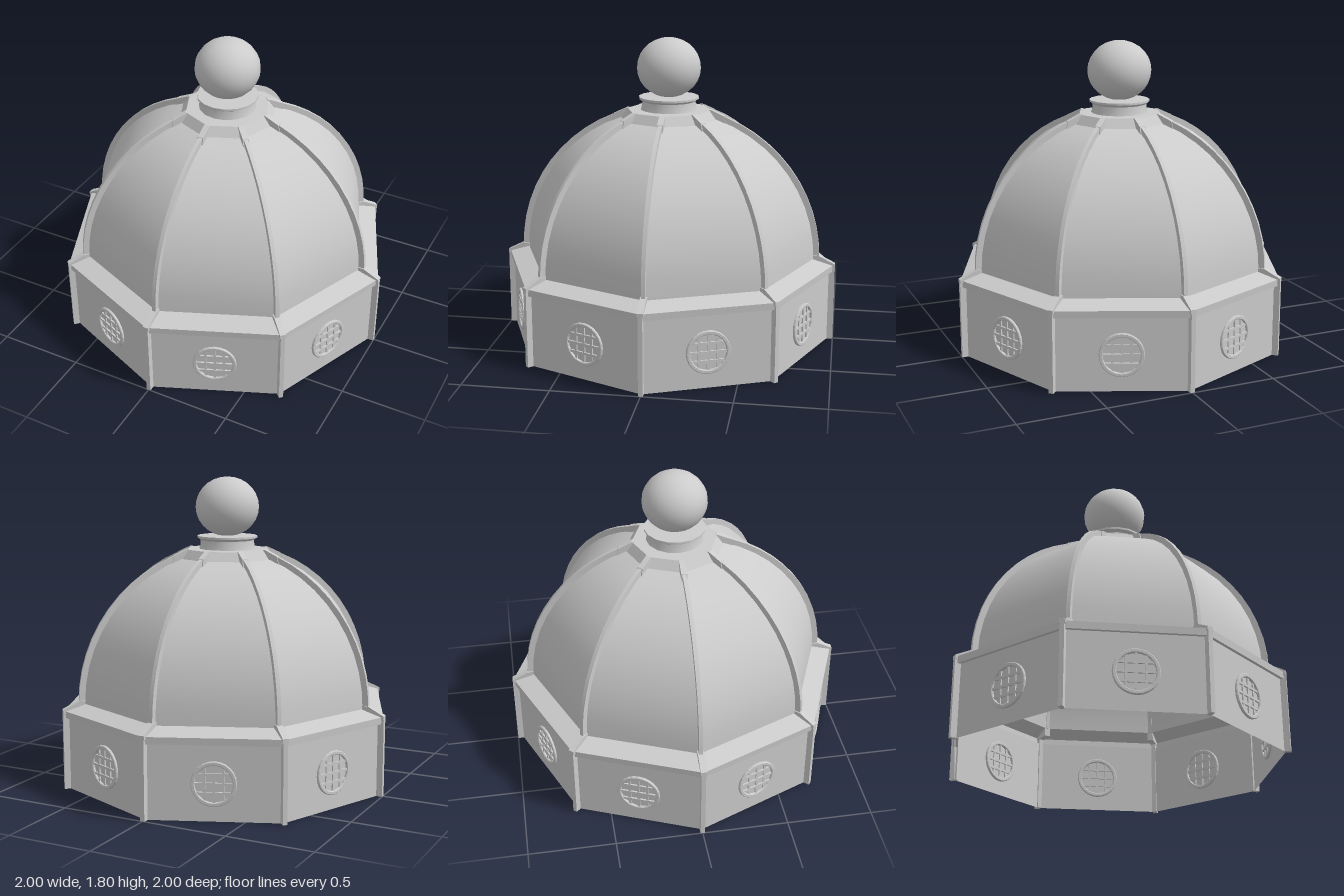
import * as THREE from 'three';
import { toCreasedNormals } from 'three/addons/utils/BufferGeometryUtils.js';

const SIDES = 8;
const STEP = (Math.PI * 2) / SIDES;
const DOME_Y = 0.5;
const grey = new THREE.MeshStandardMaterial({ color: 0xcccccc, side: THREE.DoubleSide });

const vec = (pts) => pts.map(([r, y]) => new THREE.Vector2(r, y));

// Points on a vertical arc, from the dome base up to the radius where it stops
function arc(radius, endR, n) {
  const end = Math.acos(endR / radius);
  return Array.from({ length: n + 1 }, (_, i) => {
    const a = (end * i) / n;
    return [radius * Math.cos(a), DOME_Y + radius * Math.sin(a)];
  });
}

function add(parent, geometry, name) {
  const mesh = new THREE.Mesh(geometry, grey);
  mesh.name = name;
  parent.add(mesh);
  return mesh;
}

// One flat-across side of the octagon, swept from a radius/height profile
function panel(points, smooth) {
  const g = new THREE.LatheGeometry(vec(points), 1, 0, STEP);
  if (!smooth) return toCreasedNormals(g, 0.3);
  g.computeVertexNormals();
  return g;
}

// Radial fin: a radius/height outline given a thickness, lying in the +z plane
function fin(points, width) {
  const g = new THREE.ExtrudeGeometry(new THREE.Shape(vec(points)), { depth: width, bevelEnabled: false });
  g.translate(0, 0, -width / 2);
  g.rotateY(-Math.PI / 2);
  return g;
}

// Round window: raised rim and a grid of bars, facing +z
function createWindow() {
  const win = new THREE.Group();
  win.name = 'window';
  const ring = new THREE.Shape().absarc(0, 0, 0.125, 0, Math.PI * 2);
  ring.holes.push(new THREE.Path().absarc(0, 0, 0.103, 0, Math.PI * 2, true));
  const rim = new THREE.ExtrudeGeometry(ring, {
    depth: 0.02, curveSegments: 12, bevelThickness: 0.004, bevelSize: 0.004, bevelOffset: -0.004, bevelSegments: 1,
  });
  rim.translate(0, 0, -0.01);
  add(win, rim, 'windowRim');
  for (const t of [-0.052, 0, 0.052]) {
    const length = 2 * Math.sqrt(0.108 ** 2 - t * t);
    add(win, new THREE.BoxGeometry(0.014, length, 0.016), 'verticalBar').position.x = t;
    add(win, new THREE.BoxGeometry(length, 0.014, 0.02), 'horizontalBar').position.y = t;
  }
  return win;
}

export function createModel() {
  const model = new THREE.Group();
  model.name = 'dome';

  // Shared shapes for the eight sides
  const wall = panel([[0.97, 0], [0.97, 0.425]]);
  const cornice = panel([[0.97, 0.425], [0.99, 0.425], [0.993, 0.465], [0.875, 0.5]]);
  const roof = panel(arc(0.875, 0.29, 10), true);
  const collar = panel([[0.29, 1.32], [0.25, 1.378], [0.15, 1.38]]);

  // Shared shapes for the eight corners
  const post = fin([[0.955, 0], [1, 0], [1, 0.465], [0.955, 0.465]], 0.026);
  const rib = toCreasedNormals(fin([...arc(0.905, 0.24, 12), ...arc(0.865, 0.24, 12).reverse()], 0.022), 0.4);
  const ribFoot = fin([[0.87, 0.45], [1, 0.45], [1, 0.472], [0.905, 0.52], [0.87, 0.52]], 0.036);
  const ribHead = fin([[0.24, 1.3], [0.34, 1.3], [0.33, 1.345], [0.25, 1.382], [0.24, 1.382]], 0.034);

  const apothem = 0.97 * Math.cos(STEP / 2);
  for (let i = 0; i < SIDES; i++) {
    const side = new THREE.Group();
    side.name = 'side';
    side.rotation.y = i * STEP;
    add(side, wall, 'wall');
    add(side, cornice, 'cornice');
    add(side, roof, 'domePanel');
    add(side, collar, 'collar');
    add(side, post, 'cornerPost');
    add(side, rib, 'rib');
    add(side, ribFoot, 'ribFoot');
    add(side, ribHead, 'ribHead');

    const win = createWindow();
    win.rotation.y = STEP / 2;
    win.position.set(apothem * Math.sin(STEP / 2), 0.21, apothem * Math.cos(STEP / 2));
    side.add(win);
    model.add(side);
  }

  // Neck with a flange under the ball
  const neck = new THREE.LatheGeometry(
    vec([[0.168, 1.375], [0.16, 1.4], [0.158, 1.43], [0.177, 1.443], [0.177, 1.455], [0, 1.46]]), 16);
  add(model, toCreasedNormals(neck, 0.5), 'neck');

  // Ball finial, slightly flattened
  const ball = new THREE.SphereGeometry(0.188, 20, 14);
  ball.scale(1, 0.93, 1);
  add(model, ball, 'ball').position.y = 1.625;

  return model;
}
